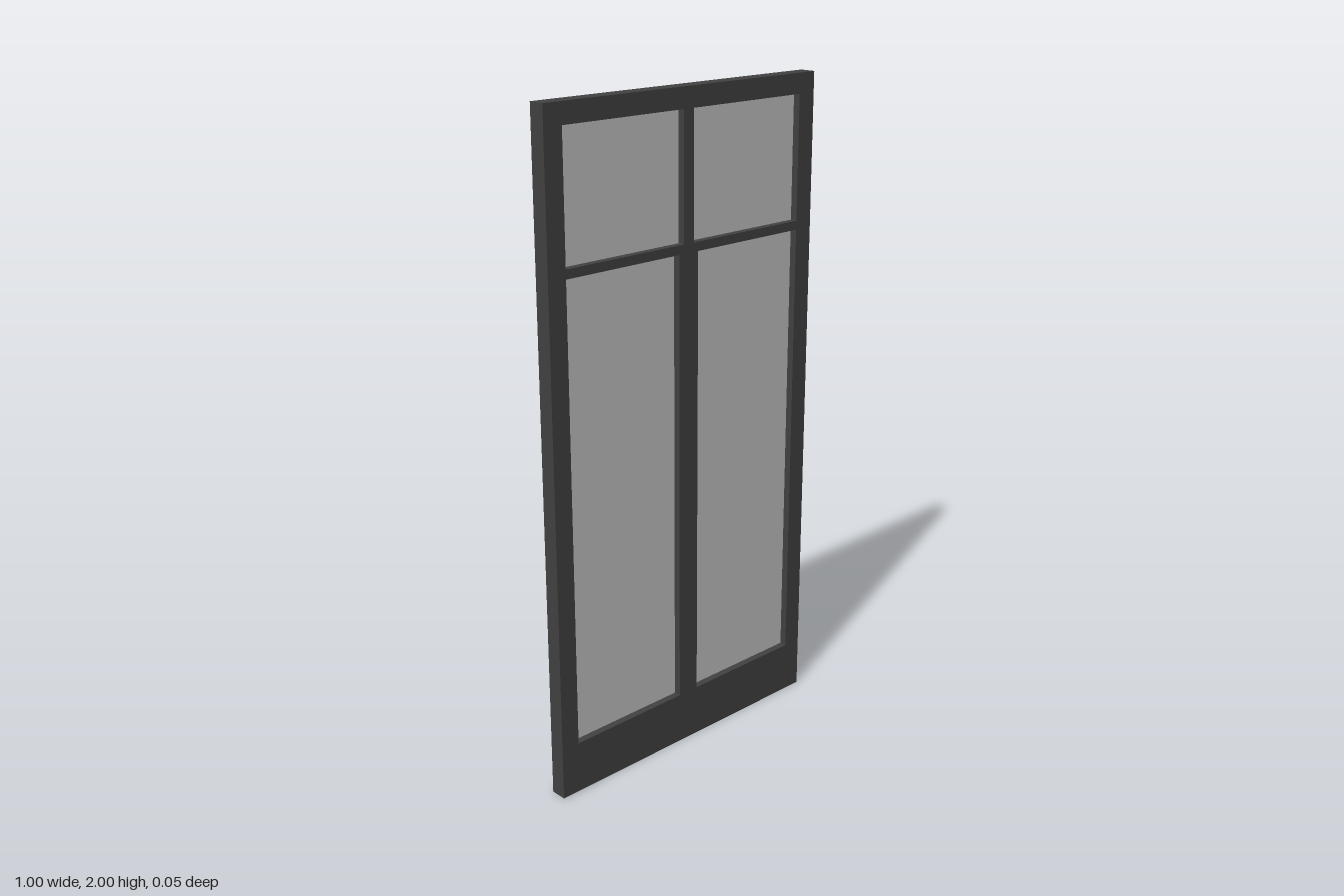
import * as THREE from 'three';

export function createModel() {
  const group = new THREE.Group();
  const frameMaterial = new THREE.MeshStandardMaterial({ color: 0x424242 });
  frameMaterial.name = 'dark grey frame';
  const glassMaterial = new THREE.MeshStandardMaterial({ color: 0xc4c4c4 });
  glassMaterial.name = 'pale grey glass';

  const depth = 0.05;
  const side = 0.44; // outer edge of the panes
  // One row of panes per entry, mirrored about the middle post
  const rows = [
    { name: 'lower', inner: 0.036, bottom: 0.16, top: 1.543 },
    { name: 'upper', inner: 0.019, bottom: 1.57, top: 1.94 },
  ];

  const rectangle = (path, x0, y0, x1, y1) =>
    path.moveTo(x0, y0).lineTo(x1, y0).lineTo(x1, y1).lineTo(x0, y1).closePath();

  const outline = new THREE.Shape();
  rectangle(outline, -0.5, 0, 0.5, 2);

  for (const { name, inner, bottom, top } of rows) {
    for (const s of [-1, 1]) {
      const x0 = Math.min(s * inner, s * side);
      const x1 = Math.max(s * inner, s * side);

      // Opening in the frame
      const hole = new THREE.Path();
      rectangle(hole, x0, bottom, x1, top);
      outline.holes.push(hole);

      // Glass pane set halfway into the frame
      const pane = new THREE.Mesh(
        new THREE.BoxGeometry(x1 - x0, top - bottom, 0.006), glassMaterial);
      pane.position.set((x0 + x1) / 2, (bottom + top) / 2, 0);
      pane.name = `${name}${s > 0 ? 'Left' : 'Right'}Pane`;
      group.add(pane);
    }
  }

  // Frame with posts, crossbar and kick rail in one piece
  const frameGeometry = new THREE.ExtrudeGeometry(outline, { depth, bevelEnabled: false });
  frameGeometry.translate(0, 0, -depth / 2);
  const frame = new THREE.Mesh(frameGeometry, frameMaterial);
  frame.name = 'doorFrame';
  group.add(frame);

  group.name = 'glazedDoor';
  return group;
}
